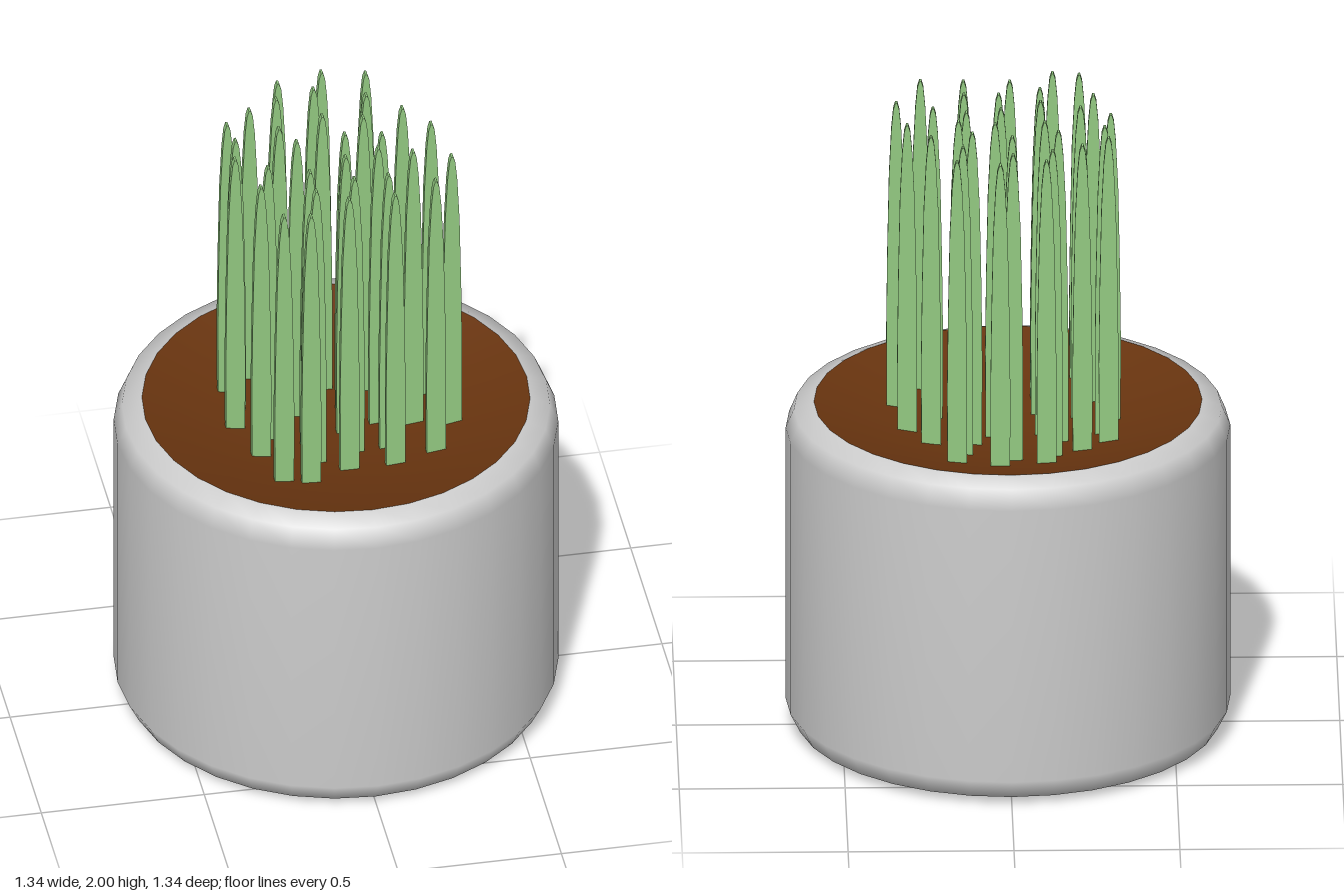
import * as THREE from 'three';

const SIDES = 32;
const points = (list) => list.map(([x, y]) => new THREE.Vector2(x, y));

export function createModel() {
  const model = new THREE.Group();
  model.name = 'pottedGrass';

  const potMaterial = new THREE.MeshStandardMaterial({ color: 0xcccccc });
  const soilMaterial = new THREE.MeshStandardMaterial({ color: 0x68340f });
  const leafMaterial = new THREE.MeshStandardMaterial({ color: 0x92c880 });

  // Round pot with softened top and bottom edges
  const potProfile = points([
    [0, 0], [0.58, 0], [0.64, 0.025], [0.67, 0.085],
    [0.67, 0.97], [0.645, 1.03], [0.585, 1.053],
  ]);
  const pot = new THREE.Mesh(new THREE.LatheGeometry(potProfile, SIDES), potMaterial);
  pot.name = 'pot';
  model.add(pot);

  // Soil, a shallow dish sinking towards the middle
  const rim = 0.585;
  const depth = 0.09;
  const soilHeight = (r) => 1.053 - depth * (1 - (r / rim) ** 2);
  const soilProfile = [];
  for (let i = 0; i <= 6; i++) {
    const r = rim * (1 - i / 6);
    soilProfile.push(new THREE.Vector2(r, soilHeight(r)));
  }
  const soil = new THREE.Mesh(new THREE.LatheGeometry(soilProfile, SIDES), soilMaterial);
  soil.name = 'soil';
  model.add(soil);

  // Flat leaf blade, narrowing to a rounded tip
  const base = 0.94;
  const rightEdge = [
    [0.029, base], [0.03, 1.25], [0.027, 1.5], [0.022, 1.75],
    [0.015, 1.9], [0.009, 1.965], [0.003, 1.985],
  ];
  const leftEdge = rightEdge.map(([x, y]) => [-x, y]).reverse();
  const thickness = 0.022;
  const bladeGeometry = new THREE.ExtrudeGeometry(
    new THREE.Shape(points([...rightEdge, ...leftEdge])),
    { depth: thickness, bevelEnabled: false },
  );
  bladeGeometry.translate(0, 0, -thickness / 2);

  // Blade positions on the soil (x, z), scattered in a loose clump
  const spots = [
    [-0.11, -0.36], [0.03, -0.39], [0.16, -0.36], [-0.01, -0.31], [-0.13, -0.28],
    [0.14, -0.25], [-0.22, -0.24], [-0.3, -0.18], [-0.01, -0.17], [0.235, -0.165],
    [-0.15, -0.13], [0.11, -0.14], [-0.29, -0.095], [-0.11, -0.055], [0.04, -0.065],
    [0.15, -0.045], [0.305, -0.07], [-0.31, 0], [0.125, 0.025], [0.02, 0.05],
    [-0.22, 0.06], [0.225, 0.06], [-0.1, 0.105], [0.335, 0.105], [-0.26, 0.155],
    [0.025, 0.165], [0.13, 0.165], [-0.1, 0.205], [-0.01, 0.265], [0.13, 0.27],
    [-0.22, 0.315], [-0.14, 0.33], [0.26, 0.24],
  ];
  const leaves = new THREE.Group();
  leaves.name = 'leaves';
  spots.forEach(([x, z], i) => {
    const blade = new THREE.Mesh(bladeGeometry, leafMaterial);
    blade.name = `blade${i + 1}`;
    // The last blade stands a little taller
    blade.position.set(x, i === spots.length - 1 ? 0.015 : 0, z);
    leaves.add(blade);
  });
  model.add(leaves);

  return model;
}
